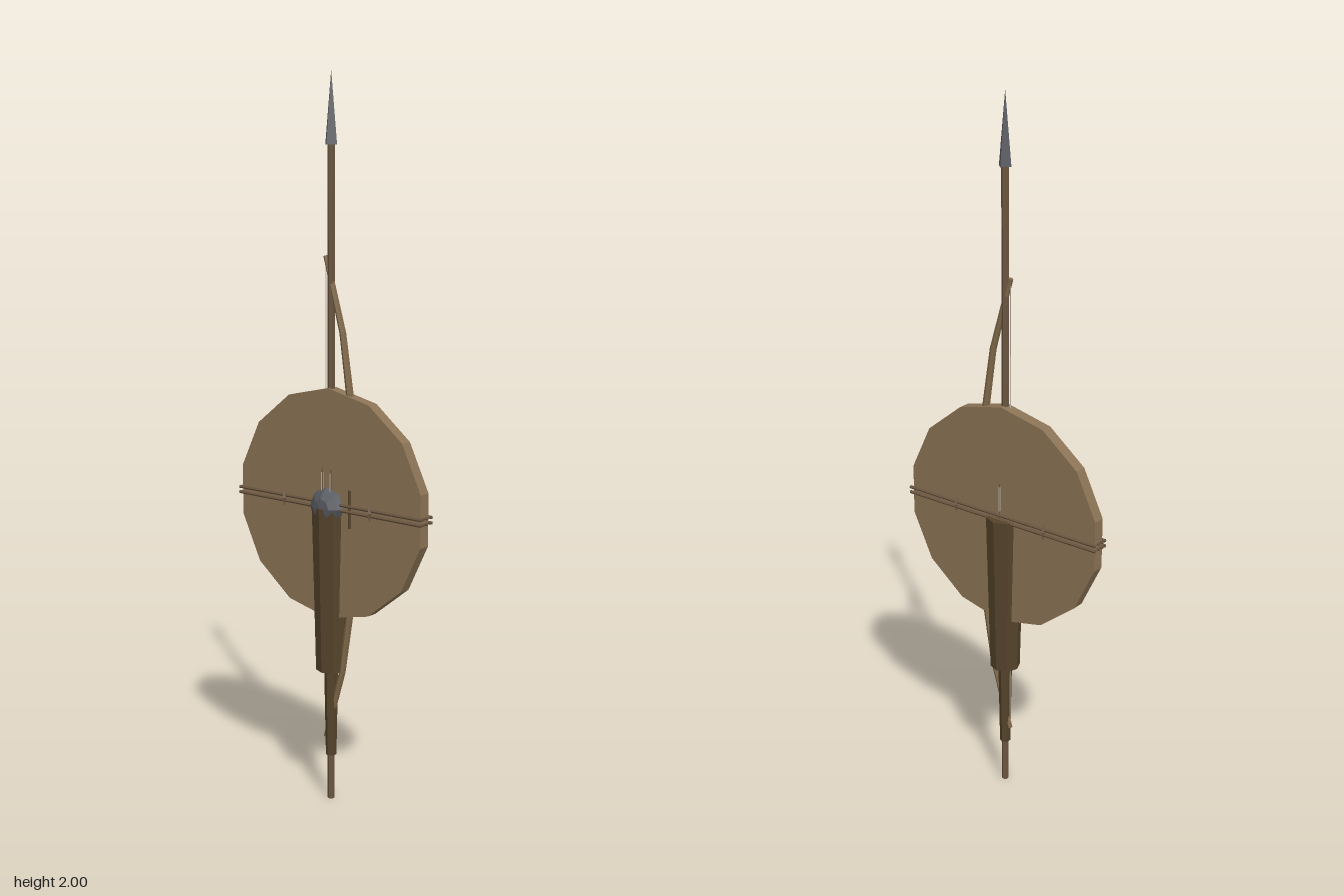
import * as THREE from 'three';

const mat = (name, color) => {
  const m = new THREE.MeshStandardMaterial({ color, flatShading: true });
  m.name = name;
  return m;
};

export function createModel() {
  const wood = mat('shaft wood', 0x6b5640);
  const hide = mat('shield wood', 0x8b7355);
  const leather = mat('dark leather', 0x54432a);
  const iron = mat('iron', 0x55585e);
  const bowWood = mat('bow wood', 0x80694a);
  const pale = mat('pale cord', 0xb8b2a4);
  const group = new THREE.Group();

  const add = (name, geo, material, x = 0, y = 0, z = 0) => {
    const mesh = new THREE.Mesh(geo, material);
    mesh.name = name;
    mesh.position.set(x, y, z);
    group.add(mesh);
    return mesh;
  };
  // Tapered upright rod from y0 to y1
  const rod = (name, m, x, z, y0, y1, r0, r1, sides = 6) =>
    add(name, new THREE.CylinderGeometry(r1, r0, y1 - y0, sides), m, x, (y0 + y1) / 2, z);

  // Spear
  rod('spearShaft', wood, 0, 0, 0, 1.82, 0.01, 0.01);
  rod('spearHead', iron, 0, 0, 1.81, 2, 0.02, 0, 4);

  // Shield disc and its domed boss
  const disc = new THREE.CylinderGeometry(0.32, 0.32, 0.034, 14);
  disc.rotateX(Math.PI / 2);
  add('shield', disc, hide, 0, 0.85, -0.003);
  const dome = new THREE.SphereGeometry(0.055, 8, 3, 0, Math.PI * 2, 0, Math.PI / 2);
  dome.rotateX(Math.PI / 2);
  dome.scale(1, 1, 0.66);
  add('shieldBoss', dome, iron, 0, 0.845, 0.014);

  // Quiver, scabbard and arrows
  rod('quiver', leather, 0, 0, 0.38, 0.845, 0.042, 0.053, 8);
  rod('scabbard', leather, 0, 0, 0.13, 0.4, 0.015, 0.02, 6);
  for (let i = 0; i < 5; i++) {
    const a = Math.PI + (i * Math.PI * 2) / 5;
    const x = Math.sin(a) * 0.025, z = Math.cos(a) * 0.025;
    rod('arrow', wood, x, z, 0.5, 0.95, 0.002, 0.002, 5);
    add('arrowFletching', new THREE.BoxGeometry(0.002, 0.07, 0.007), pale, x, 0.905, z);
  }

  // Bow: tapering limbs mirrored about the grip
  const curve = [[0.075, 0.85], [0.073, 1.0], [0.064, 1.16], [0.04, 1.32], [0.003, 1.45], [-0.018, 1.52]];
  const up = new THREE.Vector3(0, 1, 0);
  for (const s of [1, -1]) {
    for (let i = 0; i < curve.length - 1; i++) {
      const [a, b] = [curve[i], curve[i + 1]].map(([x, y]) => new THREE.Vector3(x, 0.85 + s * (y - 0.85), 0));
      const dir = b.clone().sub(a);
      const geo = new THREE.CylinderGeometry(0.0115 - i * 0.0012, 0.0127 - i * 0.0012, dir.length() + 0.003, 6);
      const limb = add('bowLimb', geo, bowWood);
      limb.position.copy(a).add(b).multiplyScalar(0.5);
      limb.quaternion.setFromUnitVectors(up, dir.normalize());
    }
  }
  rod('bowGrip', leather, 0.075, 0, 0.795, 0.9, 0.017, 0.017);
  rod('bowString', pale, -0.018, 0, 0.18, 1.52, 0.0015, 0.0015, 4);

  // Crosswise rods and the small pointed studs along them
  for (const y of [0.842, 0.857]) {
    for (const z of [-0.026, -0.007, 0.008, 0.019]) {
      const geo = new THREE.CylinderGeometry(0.0045, 0.0045, 0.638, 6);
      geo.rotateZ(Math.PI / 2);
      add('crossRod', geo, wood, 0, y, z);
    }
  }
  for (const x of [-0.15, 0.15]) {
    for (const z of [-0.028, 0.022]) {
      const geo = new THREE.OctahedronGeometry(1);
      geo.scale(0.006, 0.025, 0.009);
      add('stud', geo, wood, x, 0.85, z);
    }
  }
  return group;
}
